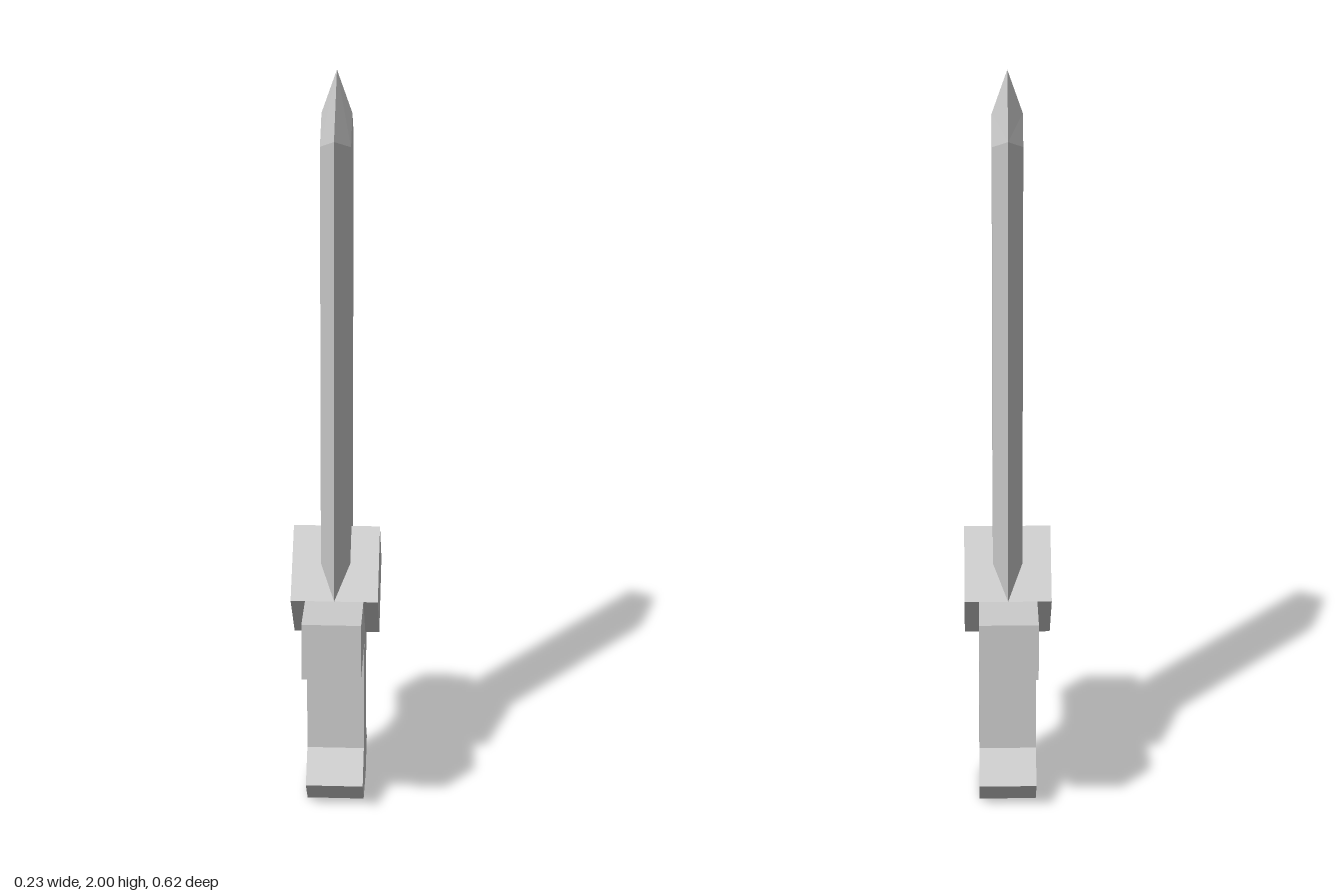
import * as THREE from 'three';

const material = new THREE.MeshStandardMaterial({ color: 0xcccccc, flatShading: true });

function addPart(group, name, geometry) {
  const mesh = new THREE.Mesh(geometry, material);
  mesh.name = name;
  group.add(mesh);
}

// Extrudes a (z, y) outline across the width of the sword, centred on x = 0
function slab(outline, width) {
  const shape = new THREE.Shape(outline.map(([z, y]) => new THREE.Vector2(z, y)));
  const geometry = new THREE.ExtrudeGeometry(shape, { depth: width, bevelEnabled: false });
  return geometry.translate(0, 0, -width / 2).rotateY(-Math.PI / 2);
}

// Blade: a sharp rim at x = 0 bevelled up to a flat face on each side
function bladeGeometry(base, halfThickness) {
  const outline = (half, shoulder, tip) =>
    [[half, base], [-half, base], [-half, shoulder], [0, tip], [half, shoulder]];
  const rim = outline(0.154, 1.85, 2);
  const face = outline(0.077, 1.82, 1.89);
  const positions = [];
  for (const side of [1, -1]) {
    const edge = rim.map(([z, y]) => [0, y, z]);
    const flat = face.map(([z, y]) => [side * halfThickness, y, z]);
    const triangle = (a, b, c) => positions.push(...a, ...(side > 0 ? b : c), ...(side > 0 ? c : b));
    for (let i = 0; i < 5; i++) {
      const j = (i + 1) % 5;
      triangle(edge[i], edge[j], flat[j]);
      triangle(edge[i], flat[j], flat[i]);
    }
    for (let i = 1; i < 4; i++) triangle(flat[0], flat[i], flat[i + 1]);
  }
  const geometry = new THREE.BufferGeometry();
  geometry.setAttribute('position', new THREE.Float32BufferAttribute(positions, 3));
  geometry.computeVertexNormals();
  return geometry;
}

export function createModel() {
  const group = new THREE.Group();
  group.name = 'sword';

  // Hilt: pommel, grip and crossguard share one outline, mirrored in z
  const half = [[0.077, 0], [0.154, 0.077], [0.077, 0.154], [0.077, 0.465], [0.308, 0.465], [0.308, 0.62]];
  const mirrored = half.map(([z, y]) => [-z, y]).reverse();
  addPart(group, 'hilt', slab([...half, ...mirrored], 0.154));

  // Diamond block set through the middle of the guard
  const d = 0.154, y = 0.62;
  addPart(group, 'guardDiamond', slab([[d, y], [0, y + d], [-d, y], [0, y - d]], 0.23));

  addPart(group, 'blade', bladeGeometry(0.62, 0.039));
  return group;
}
